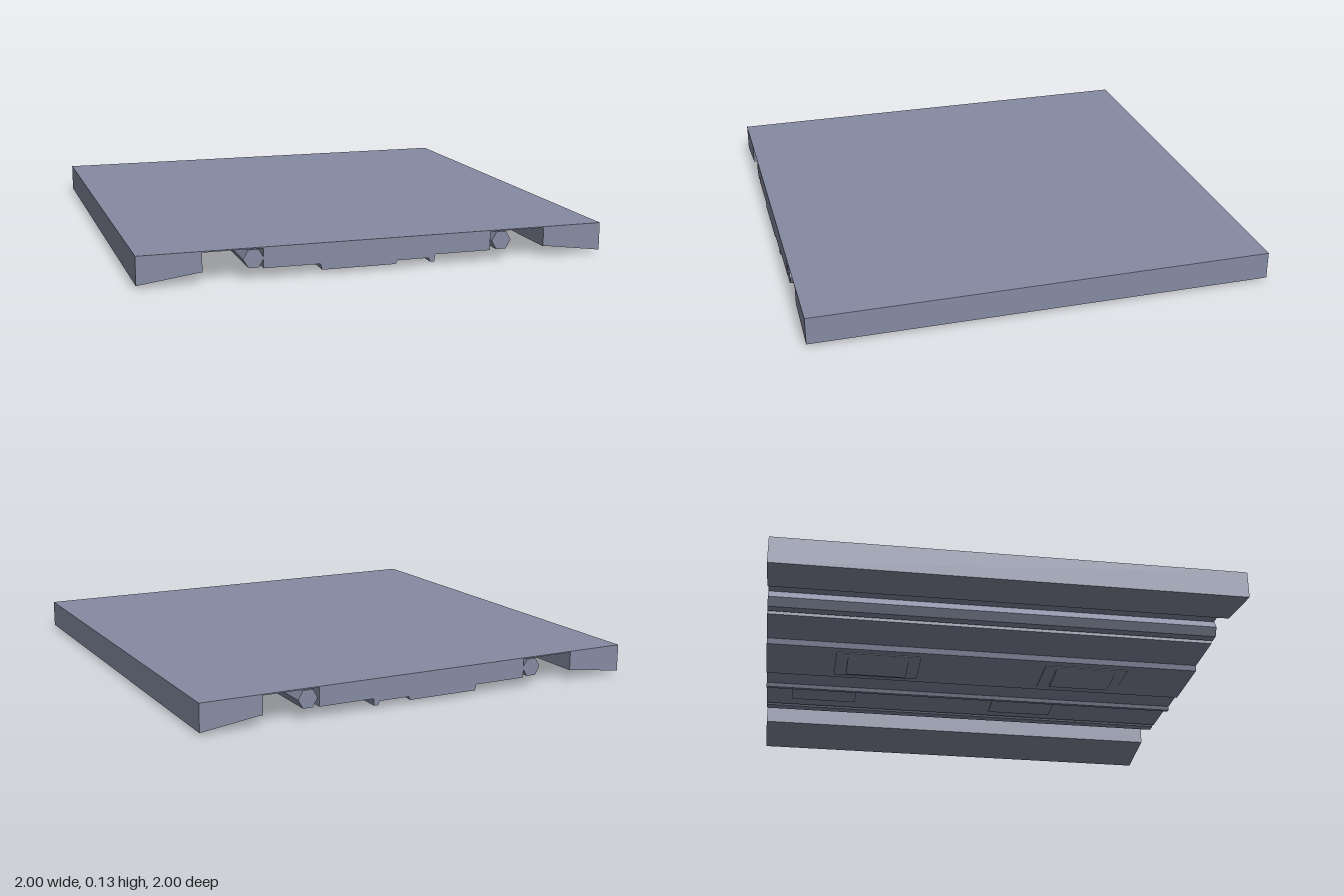
import * as THREE from 'three';

export function createModel() {
  const model = new THREE.Group();
  const metal = new THREE.MeshStandardMaterial({ color: 0x868ba2 });
  metal.name = 'blue grey metal';

  function add(name, geometry, x = 0, y = 0, z = 0) {
    const mesh = new THREE.Mesh(geometry, metal);
    mesh.name = name;
    mesh.position.set(x, y, z);
    model.add(mesh);
    return mesh;
  }

  // Extrude an x-y outline along z, centred
  function extrude(points, length) {
    const shape = new THREE.Shape(points.map(([x, y]) => new THREE.Vector2(x, y)));
    return new THREE.ExtrudeGeometry(shape, { depth: length, bevelEnabled: false })
      .translate(0, 0, -length / 2);
  }

  // Deck slab with sloped side beams, two channels and a stepped belly
  add('deck', extrude([
    [-1, 0.13], [-1, 0.011], [-0.75, 0.045], [-0.737, 0.045], [-0.737, 0.125],
    [-0.49, 0.125], [-0.49, 0.043], [-0.252, 0.043], [-0.245, 0.018],
    [0.07, 0.018], [0.078, 0.033], [0.215, 0.033], [0.222, 0.016], [0.24, 0.016],
    [0.243, 0.046], [0.49, 0.046], [0.49, 0.125], [0.735, 0.125], [0.735, 0.045],
    [0.75, 0.045], [1, 0.011], [1, 0.13],
  ], 2));

  // Hexagonal pipes in the channels
  for (const x of [-0.53, 0.54]) {
    const pipe = new THREE.CylinderGeometry(0.043, 0.043, 2, 6).toNonIndexed();
    pipe.rotateX(Math.PI / 2).rotateZ(Math.PI / 2);
    pipe.computeVertexNormals();
    add('pipe', pipe, x, 0.085, 0);
  }

  // Hatches with a curved grip on the belly
  for (const z of [-0.49, 0.485]) {
    add('hatchPlate', new THREE.BoxGeometry(0.24, 0.004, 0.39), -0.085, 0.017, z);
    add('hatchGrip', extrude([
      [-0.175, 0.018], [-0.155, 0.006], [-0.12, 0.001], [-0.08, 0],
      [-0.01, 0.004], [0.01, 0.007], [0.01, 0.018],
    ].reverse(), 0.28), 0, 0, z);
  }

  // Small access covers beside the belly ridge
  for (const [x, z] of [[0.365, 0.27], [0.345, -0.72]]) {
    add('accessCover', new THREE.BoxGeometry(0.14, 0.006, 0.31), x, 0.045, z);
  }

  return model;
}
